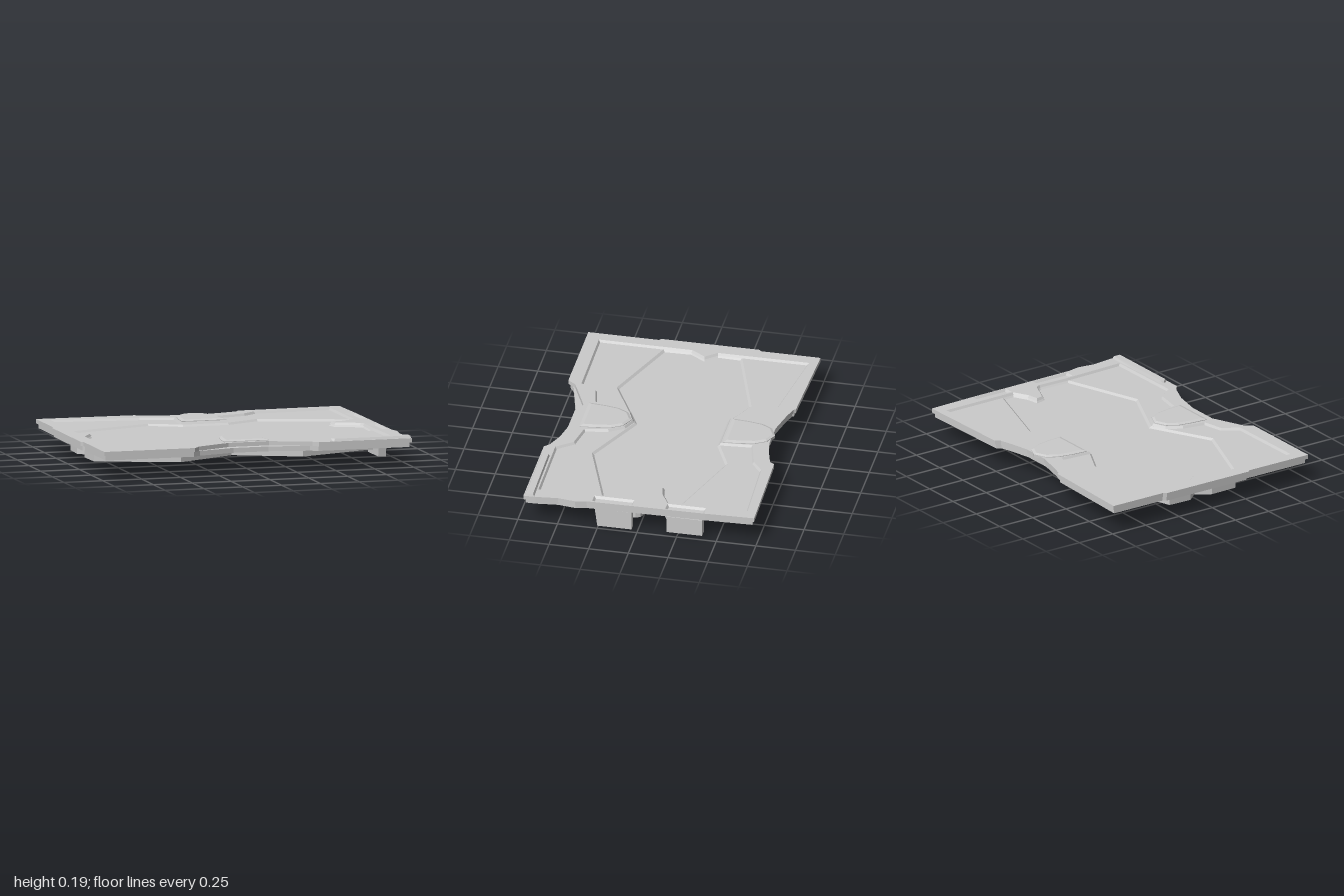
import * as THREE from 'three';

const material = new THREE.MeshStandardMaterial({ color: 0xcccccc, flatShading: true });
const wallMaterial = new THREE.MeshStandardMaterial({ color: 0xcccccc, flatShading: true, side: THREE.DoubleSide });

// Heights of the layers
const BODY = 0.045, BASE = 0.12, TROUGH = 0.15, FLOOR = 0.162, RIM = 0.176;

const toVectors = (pts) => pts.map(([x, z]) => new THREE.Vector2(x, -z));

// Plate between two heights from an [x, z] outline and optional holes
function slab(outline, y0, y1, holes = []) {
  const shape = new THREE.Shape(toVectors(outline));
  shape.holes = holes.map((h) => new THREE.Path(toVectors(h)));
  const geo = new THREE.ExtrudeGeometry(shape, { depth: y1 - y0, bevelEnabled: false });
  return geo.rotateX(-Math.PI / 2).translate(0, y0, 0);
}

// Pull the top or bottom corners of a slab towards a centre
function taper(geo, cx, cz, sx, sz, test) {
  const p = geo.attributes.position;
  for (let i = 0; i < p.count; i++) {
    if (!test(p.getY(i))) continue;
    p.setX(i, cx + (p.getX(i) - cx) * sx);
    p.setZ(i, cz + (p.getZ(i) - cz) * sz);
  }
  geo.computeVertexNormals();
  return geo;
}

// Mitred inward offset of a closed [x, z] loop
function inset(loop, d) {
  const sign = THREE.ShapeUtils.area(loop.map(([x, z]) => ({ x, y: z }))) > 0 ? 1 : -1;
  const n = loop.length;
  const normal = (a, b) => {
    const dx = b[0] - a[0], dz = b[1] - a[1], l = Math.hypot(dx, dz);
    return [(-dz / l) * sign, (dx / l) * sign];
  };
  return loop.map((p, i) => {
    const a = normal(loop[(i + n - 1) % n], p), b = normal(p, loop[(i + 1) % n]);
    const k = d / Math.max(0.4, 1 + a[0] * b[0] + a[1] * b[1]);
    return [p[0] + (a[0] + b[0]) * k, p[1] + (a[1] + b[1]) * k];
  });
}

// Sloping band lining a hole: wide at the top, narrower at the bottom
function slopedWall(loop, y0, y1, d) {
  const low = inset(loop, d), pos = [];
  loop.forEach((p, i) => {
    const j = (i + 1) % loop.length;
    const a = [p[0], y1, p[1]], b = [loop[j][0], y1, loop[j][1]];
    const c = [low[j][0], y0, low[j][1]], e = [low[i][0], y0, low[i][1]];
    pos.push(...a, ...b, ...c, ...a, ...c, ...e);
  });
  const geo = new THREE.BufferGeometry();
  geo.setAttribute('position', new THREE.Float32BufferAttribute(pos, 3));
  geo.computeVertexNormals();
  return geo;
}

const rect = (x0, x1, z0, z1) => [[x0, z0], [x1, z0], [x1, z1], [x0, z1]];

export function createModel() {
  const group = new THREE.Group();
  const add = (name, geo, mat = material) => {
    const mesh = new THREE.Mesh(geo, mat);
    mesh.name = name;
    group.add(mesh);
  };

  // Outer contour: back edge and both sides, then two versions of the front
  const back = [[-0.985, -0.732], [-0.355, -0.712], [-0.345, -0.697], [-0.26, -0.672], [-0.105, -0.637],
    [0.08, -0.637], [0.2, -0.662], [0.29, -0.687], [0.31, -0.717], [0.966, -0.732]];
  const right = [[0.976, -0.42], [0.981, 0.03], [0.985, 0.32], [1, 0.39], [0.985, 0.5], [1, 0.64], [1, 0.715]];
  const left = [[-0.985, 0.732], [-0.985, 0.285], [-1, 0.275], [-1, -0.34], [-0.985, -0.36]];
  const rimFront = [[0.4, 0.715], [0.37, 0.685], [0.12, 0.582], [-0.14, 0.582], [-0.36, 0.68], [-0.4, 0.732]];
  const baseFront = [[0.4, 0.715], [0.35, 0.69], [0.1, 0.64], [-0.12, 0.64], [-0.35, 0.7], [-0.4, 0.732]];

  // Tongues that reach in from both ends
  const rightTongue = [[0.895, -0.17], [0.8, -0.118], [0.73, -0.105], [0.74, -0.06], [0.885, 0], [0.9, 0.03]];
  const leftTongue = [[-0.91, 0.06], [-0.85, -0.03], [-0.91, -0.1]];

  // Opening in the rim, stepping around the two hatches
  const opening = [
    [-0.912, -0.675], [-0.36, -0.6], [-0.15, -0.54], [-0.165, -0.343], [0.13, -0.343], [0.115, -0.54],
    [0.31, -0.59], [0.395, -0.655], [0.89, -0.675], ...rightTongue, [0.895, 0.24], [0.91, 0.64],
    [0.39, 0.645], [0.31, 0.545], [0.145, 0.515], [0.118, 0.37], [0.06, 0.28], [-0.018, 0.245],
    [-0.1, 0.28], [-0.155, 0.37], [-0.185, 0.515], [-0.32, 0.545], [-0.38, 0.645], [-0.912, 0.65], ...leftTongue];

  // Central trough
  const trough = [
    [-0.905, -0.255], [-0.355, -0.432], [-0.16, -0.335], [0.13, -0.335], [0.345, -0.432], [0.89, -0.255],
    ...rightTongue, [0.893, 0.24], [0.39, 0.415], [-0.015, 0.23], [-0.4, 0.428], [-0.905, 0.24], ...leftTongue];

  const outer = [...back, ...right, ...rimFront, ...left];
  const slots = [rect(0.908, 0.972, -0.418, -0.173), rect(0.908, 0.974, 0.033, 0.287)];
  add('basePlate', slab(inset([...back, ...right, ...baseFront, ...left], 0.013), BASE, TROUGH));
  add('floorPlate', slab(outer, TROUGH, FLOOR, [trough]));
  add('rim', slab(outer, FLOOR, RIM, [opening, ...slots]));
  add('rimInnerSlope', slopedWall(opening, FLOOR, RIM, 0.01), wallMaterial);
  add('troughSlope', slopedWall(trough, TROUGH, FLOOR, 0.014), wallMaterial);
  add('troughBody', slab(trough, BODY, BASE));

  // Bevelled hatches, identical front and back
  const hatch = [[-0.16, 0.55], [0.127, 0.55], [0.118, 0.45], [0.1, 0.355], [0.06, 0.287], [-0.018, 0.252],
    [-0.095, 0.287], [-0.135, 0.355], [-0.152, 0.45]];
  for (const [name, dz] of [['frontHatch', 0], ['backHatch', -0.905]]) {
    add(name, slab(hatch, FLOOR, 0.18).translate(0, 0, dz));
    const bevel = taper(slab(hatch, 0.18, 0.187), -0.017, 0.38, 0.84, 0.87, (y) => y > 0.183);
    add(name + 'Top', bevel.translate(0, 0, dz));
  }

  // Raised bar on the front left corner
  const bar = [[0.48, 0.68], [0.5, 0.65], [1, 0.64], [1, 0.715], [0.5, 0.715]];
  add('cornerBar', taper(slab(bar, FLOOR, 0.191), 0.74, 0.68, 0.97, 0.6, (y) => y > 0.18));

  // Slot linings and the legs beneath them
  slots.forEach((s) => add('slotSlope', slopedWall(s, FLOOR, RIM, 0.012), wallMaterial));
  add('frontLeg', taper(slab(rect(0.92, 0.97, 0.04, 0.272), 0, BASE), 0.945, 0.04, 1, 0.93, (y) => y < 0.06));
  add('backLeg', slab(rect(0.92, 0.97, -0.405, -0.18), 0.01, BASE));

  return group;
}
